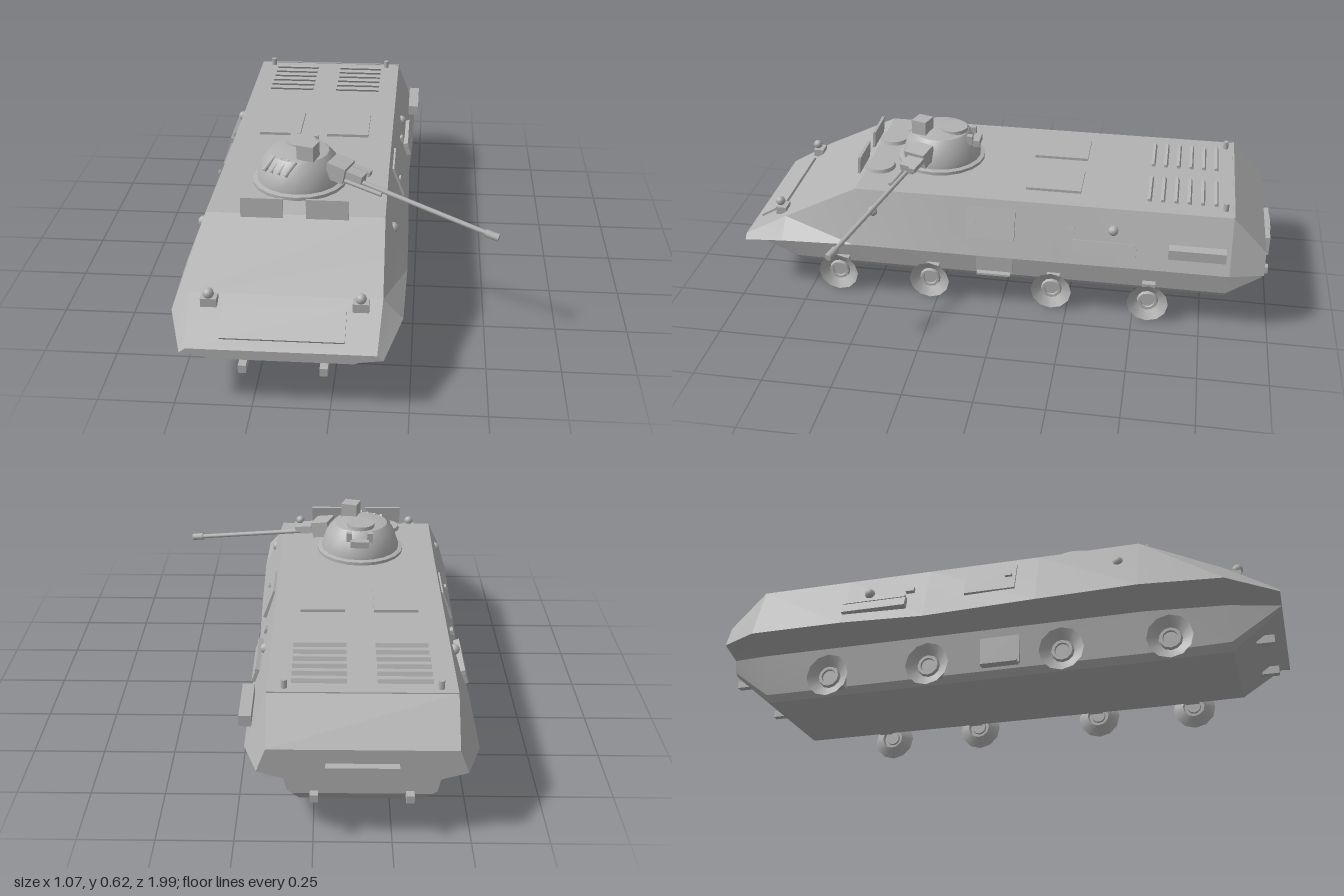
import * as THREE from 'three';
import { toCreasedNormals, mergeVertices } from 'three/addons/utils/BufferGeometryUtils.js';

const grey = new THREE.MeshStandardMaterial({ color: 0xb2b2b2, side: THREE.DoubleSide });
grey.name = 'plain grey';

const CX = -0.153;     // hull centre line
const LEAN = 0.359;    // lean of the upper side armour

function add(parent, name, geometry, x = 0, y = 0, z = 0, rx = 0, ry = 0, rz = 0) {
  const mesh = new THREE.Mesh(geometry, grey);
  mesh.name = name;
  mesh.position.set(x, y, z);
  mesh.rotation.set(rx, ry, rz);
  parent.add(mesh);
  return mesh;
}
const box = (w, h, d) => new THREE.BoxGeometry(w, h, d);
const lathe = (pts, seg) => toCreasedNormals(
  new THREE.LatheGeometry(pts.map(p => new THREE.Vector2(...p)), seg), 0.6);

// Round bar between two points
function bar(parent, name, a, b, r, seg = 8) {
  const p = new THREE.Vector3(...a), q = new THREE.Vector3(...b), d = q.clone().sub(p);
  const mesh = add(parent, name, new THREE.CylinderGeometry(r, r, d.length(), seg));
  mesh.position.copy(p).add(q).multiplyScalar(0.5);
  mesh.quaternion.setFromUnitVectors(new THREE.Vector3(0, 1, 0), d.normalize());
}

// Hull lofted through mirrored half sections: [half width, y] from roof edge to floor
function hullGeometry() {
  const low = [[0.24, 0.232], [0.22, 0.085], [0.2, 0.062]];
  const stations = [
    [1.0, [[0.3, 0.222], [0.32, 0.205], [0.26, 0.197], [0.24, 0.193], [0.23, 0.188]]],
    [0.83, [[0.31, 0.32], [0.375, 0.25], [0.245, 0.215], [0.225, 0.09], [0.2, 0.065]]],
    [0.55, [[0.303, 0.46], [0.38, 0.262], ...low]],
    [0.2, [[0.3, 0.46], [0.375, 0.258], ...low]],
    [-0.2, [[0.3, 0.46], [0.366, 0.252], ...low]],
    [-0.5, [[0.3, 0.46], [0.375, 0.26], ...low]],
    [-0.84, [[0.3, 0.46], [0.375, 0.26], ...low]],
    [-0.965, [[0.3, 0.33], [0.33, 0.25], [0.245, 0.225], [0.235, 0.18], [0.22, 0.17]]],
  ];
  const pos = [], idx = [], n = 10;
  for (const [z, half] of stations) {
    for (const [w, y] of half) pos.push(w, y, z);
    for (const [w, y] of [...half].reverse()) pos.push(-w, y, z);
  }
  const quad = (a, b, c, d) => idx.push(a, b, c, a, c, d);
  for (let i = 0; i < stations.length - 1; i++)
    for (let j = 0; j < n; j++) {
      const k = (j + 1) % n, o = i * n;
      quad(o + j, o + k, o + n + k, o + n + j);
    }
  const e = (stations.length - 1) * n;
  for (let j = 0; j < 4; j++) {
    quad(j, 9 - j, 8 - j, j + 1);
    quad(e + j, e + j + 1, e + 8 - j, e + 9 - j);
  }
  const g = new THREE.BufferGeometry();
  g.setAttribute('position', new THREE.Float32BufferAttribute(pos, 3));
  g.setIndex(idx);
  return toCreasedNormals(mergeVertices(g), 0.3);
}

function buildHull(hull) {
  add(hull, 'hullBody', hullGeometry());
  // Nose plate, headlights and towing lugs
  add(hull, 'trimVane', box(0.395, 0.012, 0.115), 0, 0.271, 0.92, 0.53);
  for (const s of [-1, 1]) {
    add(hull, 'headlightBase', box(0.052, 0.03, 0.04), s * 0.242, 0.315, 0.862);
    add(hull, 'headlight', new THREE.SphereGeometry(0.018, 10, 8), s * 0.242, 0.345, 0.87);
    add(hull, 'frontTowLug', box(0.026, 0.028, 0.06), s * 0.13, 0.125, 0.935);
    add(hull, 'rearTowLug', box(0.026, 0.026, 0.05), s * 0.15, 0.167, -0.968);
    // Driver and commander hatches with raised shields
    add(hull, 'crewHatch', new THREE.CylinderGeometry(0.055, 0.06, 0.016, 16), s * 0.118, 0.466, 0.5);
    add(hull, 'windshield', box(0.143, 0.068, 0.01), s * 0.11, 0.492, 0.565, -0.1);
    // Roof hatches, louvres and rear lamps
    add(hull, 'roofHatch', box(0.157, 0.012, 0.205), s * 0.13, 0.464, -0.18);
    for (let i = 0; i < 6; i++)
      add(hull, 'engineLouvre', box(0.177, 0.014, 0.012), s * 0.137, 0.464, -0.775 + i * 0.048, 0.4);
    add(hull, 'rearLamp', new THREE.CylinderGeometry(0.01, 0.01, 0.03, 8), s * 0.247, 0.474, -0.81);
  }
  add(hull, 'engineDeckSeam', box(0.6, 0.004, 0.006), 0, 0.461, -0.84);
  add(hull, 'rearPlate', box(0.23, 0.075, 0.03), 0, 0.243, -0.977);
  add(hull, 'rearPlateHandle', box(0.1, 0.012, 0.008), 0, 0.277, -0.99);
}

// Fittings on both leaning flanks
function buildFlank(hull, s) {
  const onSide = (name, geometry, y, z, out = 0) => add(hull, name, geometry,
    s * (0.3 + (0.46 - y) * 0.36 + out), y, z, 0, 0, s * LEAN);
  onSide('sideDoor', box(0.014, 0.115, 0.18), 0.375, 0.035);
  onSide('doorHandle', box(0.022, 0.008, 0.025), 0.38, 0.1, 0.004);
  onSide('stowageBin', box(0.022, 0.04, 0.235), 0.318, -0.385, 0.004);
  onSide('stowageBinLid', box(0.028, 0.012, 0.23), 0.34, -0.385, 0.004);
  for (const z of [0.48, -0.415])
    onSide('firingPort', new THREE.SphereGeometry(0.019, 10, 8), 0.385, z);
  onSide('visionPort', box(0.018, 0.018, 0.03), 0.375, -0.26);
  add(hull, 'lowerHatch', box(0.012, 0.12, 0.14), s * 0.23, 0.16, 0.04);
  add(hull, 'footStep', box(0.045, 0.008, 0.13), s * 0.235, 0.1, 0.04);
}

// Dished wheel hubs, open towards the outside
function buildWheels(hull) {
  const dish = lathe([[0.077, 0], [0.04, -0.024], [0.036, -0.012], [0.026, -0.012],
    [0.024, -0.02], [0, -0.02]], 12);
  for (const s of [-1, 1])
    [0.64, 0.28, -0.19, -0.555].forEach((z, i) => {
      const inset = s > 0 && i < 3 ? 0.025 : 0;
      add(hull, 'wheelHub', dish, s * (0.333 - inset), 0.085, z, 0, 0, -s * Math.PI / 2);
      add(hull, 'axleBox', box(0.04, 0.036, 0.05), s * 0.228, 0.095, z);
      add(hull, 'axleStub', new THREE.CylinderGeometry(0.006, 0.006, 0.03, 8),
        s * 0.255, 0.099, z, 0, 0, Math.PI / 2);
    });
}

function buildTurret(turret) {
  add(turret, 'turretShell', lathe([[0.168, 0.455], [0.168, 0.472], [0.152, 0.476], [0.15, 0.492],
    [0.132, 0.545], [0.105, 0.575], [0.06, 0.584], [0, 0.586]].reverse(), 20), -0.165, 0, 0.285);
  add(turret, 'turretHatch', new THREE.CylinderGeometry(0.053, 0.055, 0.014, 16), -0.165, 0.584, 0.235);
  add(turret, 'sightBox', box(0.062, 0.055, 0.06), -0.128, 0.604, 0.35, 0, -0.3);
  add(turret, 'rearBracket', box(0.07, 0.025, 0.03), -0.16, 0.54, 0.145);
  for (const x of [-0.2, -0.12])
    add(turret, 'rearPeriscope', box(0.022, 0.035, 0.022), x, 0.56, 0.165);
  // Smoke tubes on the front flank
  for (let i = 0; i < 4; i++) {
    const x = -0.28 + i * 0.026, z = 0.355 + i * 0.014;
    bar(turret, 'smokeTube', [x, 0.535, z + 0.02], [x + 0.035, 0.575, z - 0.01], 0.0085);
  }
  // Gun mount and barrels
  add(turret, 'gunMantlet', box(0.07, 0.06, 0.085), -0.02, 0.532, 0.34, 0, -0.35, -0.2);
  add(turret, 'gunCradle', box(0.08, 0.035, 0.05), 0.03, 0.52, 0.36, 0, -0.35, -0.2);
  add(turret, 'gunSight', box(0.07, 0.018, 0.025), 0.057, 0.527, 0.335, 0, -0.35, -0.2);
  bar(turret, 'gunBarrel', [0.0, 0.512, 0.35], [0.5, 0.402, 0.535], 0.0085);
  bar(turret, 'gunMuzzle', [0.485, 0.405, 0.53], [0.53, 0.396, 0.546], 0.0135);
  bar(turret, 'coaxialGun', [0.0, 0.505, 0.375], [0.13, 0.478, 0.42], 0.008);
}

export function createModel() {
  const model = new THREE.Group();
  model.name = 'armouredCarrier';
  const hull = new THREE.Group(), turret = new THREE.Group();
  hull.name = 'hull';
  turret.name = 'turret';
  hull.position.x = CX;
  model.add(hull, turret);
  buildHull(hull);
  for (const s of [-1, 1]) buildFlank(hull, s);
  // Outboard bin on one flank only
  add(hull, 'rearSideBin', box(0.04, 0.038, 0.205), 0.372, 0.342, -0.72);
  buildWheels(hull);
  buildTurret(turret);
  return model;
}
